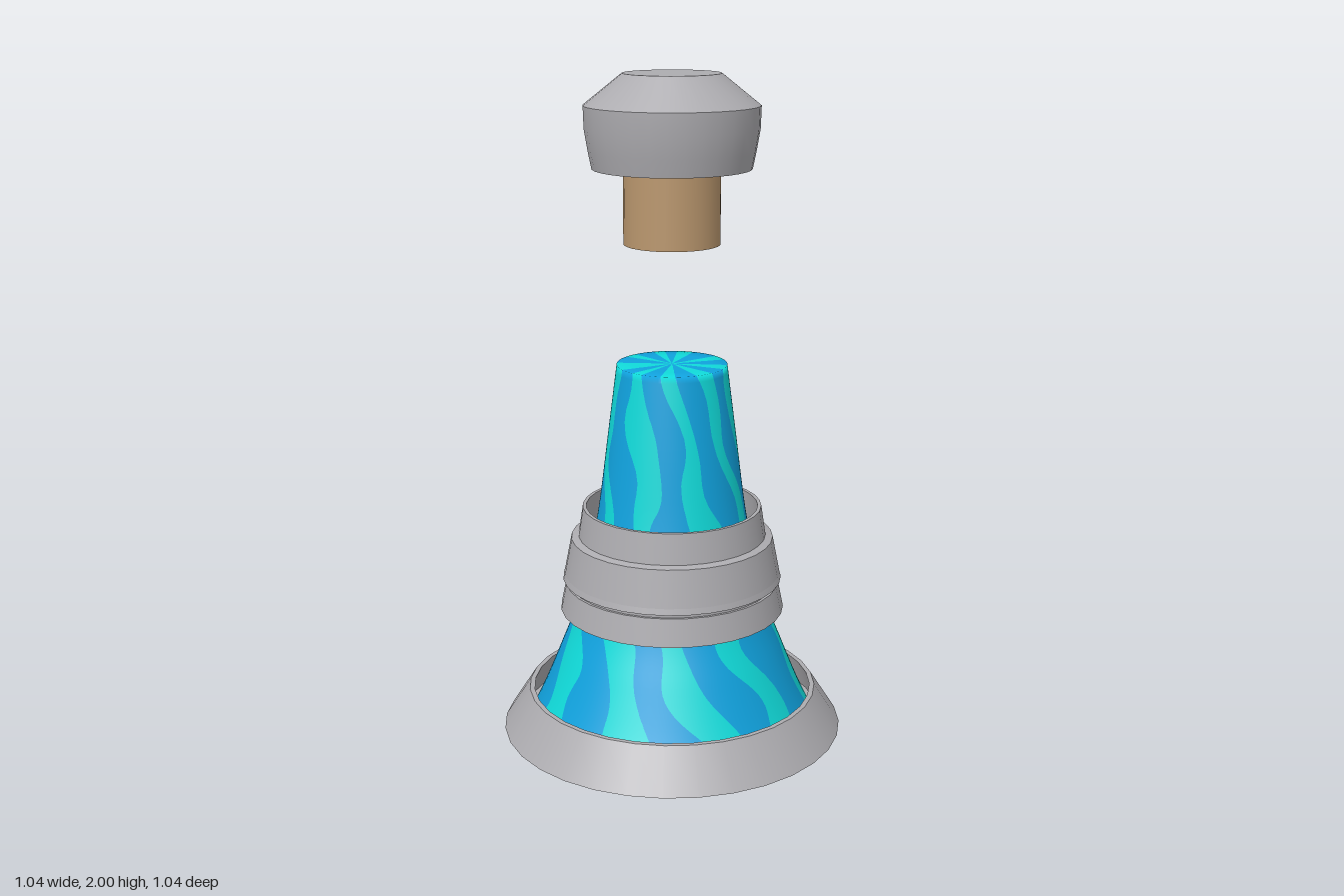
import * as THREE from 'three';
import { mergeGeometries } from 'three/addons/utils/BufferGeometryUtils.js';

const SIDES = 32;
const mat = (name, color) => {
  const m = new THREE.MeshStandardMaterial({ color });
  m.name = name;
  return m;
};
const V = (list) => list.map(([x, y]) => new THREE.Vector2(x, y));

// Turned part: each run of [radius, y] points is smooth, with a sharp edge between runs
function turned(name, material, runs) {
  const parts = runs.map((run) => new THREE.LatheGeometry(V(run), SIDES, Math.PI / SIDES));
  const mesh = new THREE.Mesh(mergeGeometries(parts), material);
  mesh.name = name;
  return mesh;
}

// Closed loop of points with every corner sharp
const loop = (pts) => pts.map((p, i) => [p, pts[(i + 1) % pts.length]]);
const chain = (pts) => pts.slice(1).map((p, i) => [pts[i], p]);

// Wavy diagonal stripes: positive inside a light stripe
function stripe(angle, y) {
  const wobble = 0.9 * Math.sin(2 * angle + 7 * y) + 0.65 * Math.sin(3 * angle - 13 * y + 1)
    + 0.3 * Math.sin(5 * angle + 29 * y);
  const width = -0.18 + 0.3 * Math.sin(3 * angle + 11 * y + 2);
  return Math.sin(9 * angle + 9 * y + wobble) + width;
}

// Part of a polygon where sign * f >= 0
function clip(poly, sign) {
  const out = [];
  poly.forEach((a, i) => {
    const b = poly[(i + 1) % poly.length];
    if (a.f * sign >= 0) out.push(a);
    if (a.f * b.f < 0) {
      const t = a.f / (a.f - b.f);
      out.push({ p: a.p.clone().lerp(b.p, t), n: a.n.clone().lerp(b.n, t).normalize(), f: 0 });
    }
  });
  return out;
}

// Splits a lathe along the stripe edges and keeps one side
function stripedSide(lathe, sign) {
  const { position, normal, uv } = lathe.attributes;
  const verts = [];
  for (let i = 0; i < position.count; i++) {
    verts.push({
      p: new THREE.Vector3().fromBufferAttribute(position, i),
      n: new THREE.Vector3().fromBufferAttribute(normal, i),
      f: stripe(uv.getX(i) * Math.PI * 2, position.getY(i)),
    });
  }
  const pos = [], nor = [];
  const idx = lathe.index.array;
  for (let i = 0; i < idx.length; i += 3) {
    const poly = clip([verts[idx[i]], verts[idx[i + 1]], verts[idx[i + 2]]], sign);
    for (let k = 1; k + 1 < poly.length; k++) {
      for (const v of [poly[0], poly[k], poly[k + 1]]) {
        pos.push(v.p.x, v.p.y, v.p.z);
        nor.push(v.n.x, v.n.y, v.n.z);
      }
    }
  }
  const g = new THREE.BufferGeometry();
  g.setAttribute('position', new THREE.Float32BufferAttribute(pos, 3));
  g.setAttribute('normal', new THREE.Float32BufferAttribute(nor, 3));
  return g;
}

export function createModel() {
  const metal = mat('grey metal', 0xadacb0);
  const wood = mat('cork', 0xba976e);
  const blue = mat('blue liquid', 0x10a2de);
  const cyan = mat('cyan liquid', 0x10dad9);
  const model = new THREE.Group();
  model.name = 'bottle';

  // Hollow flared foot
  model.add(turned('foot', metal, chain([
    [0, 0], [0.525, 0], [0.445, 0.125], [0.43, 0.125], [0.46, 0.03], [0, 0.03],
  ])));

  // Flared bottle body with a closed, softly shaded top
  const curve = new THREE.SplineCurve(V([
    [0.44, 0.03], [0.396, 0.125], [0.345, 0.25], [0.294, 0.385],
    [0.252, 0.55], [0.222, 0.71], [0.192, 0.94], [0.165, 1.15],
  ]));
  const profile = [...curve.getPoints(48), ...V([[0.11, 1.15], [0.055, 1.15], [0, 1.15]])];
  const lathe = new THREE.LatheGeometry(profile, SIDES * 3, Math.PI / SIDES);
  const body = new THREE.Group();
  body.name = 'body';
  for (const [name, material, sign] of [['bodyBase', blue, -1], ['bodyStripes', cyan, 1]]) {
    const mesh = new THREE.Mesh(stripedSide(lathe, sign), material);
    mesh.name = name;
    body.add(mesh);
  }
  model.add(body);

  // Stepped collar of three tapered rings, open around the body
  model.add(turned('collar', metal, loop([
    [0.343, 0.385], [0.326, 0.468], [0.318, 0.468], [0.318, 0.482],
    [0.335, 0.482], [0.33, 0.5], [0.308, 0.612], [0.286, 0.618], [0.272, 0.71],
    [0.261, 0.71], [0.274, 0.61], [0.296, 0.605], [0.318, 0.47], [0.33, 0.385],
  ])));

  // Floating stopper: cork and hollow cap
  const cork = new THREE.Mesh(new THREE.CylinderGeometry(0.142, 0.142, 0.39, SIDES), wood);
  cork.name = 'cork';
  cork.position.y = 1.705;
  model.add(cork);
  model.add(turned('cap', metal, [
    [[0, 1.9], [0.22, 1.9]],
    [[0.235, 1.88], [0.215, 1.73]].map((p, i) => (i ? p : [0.22, 1.9])),
    [[0.215, 1.73], [0.233, 1.73]],
    [[0.233, 1.73], [0.243, 1.78], [0.254, 1.845], [0.256, 1.91]],
    [[0.256, 1.91], [0.143, 2]],
    [[0.143, 2], [0, 2]],
  ]));

  return model;
}
